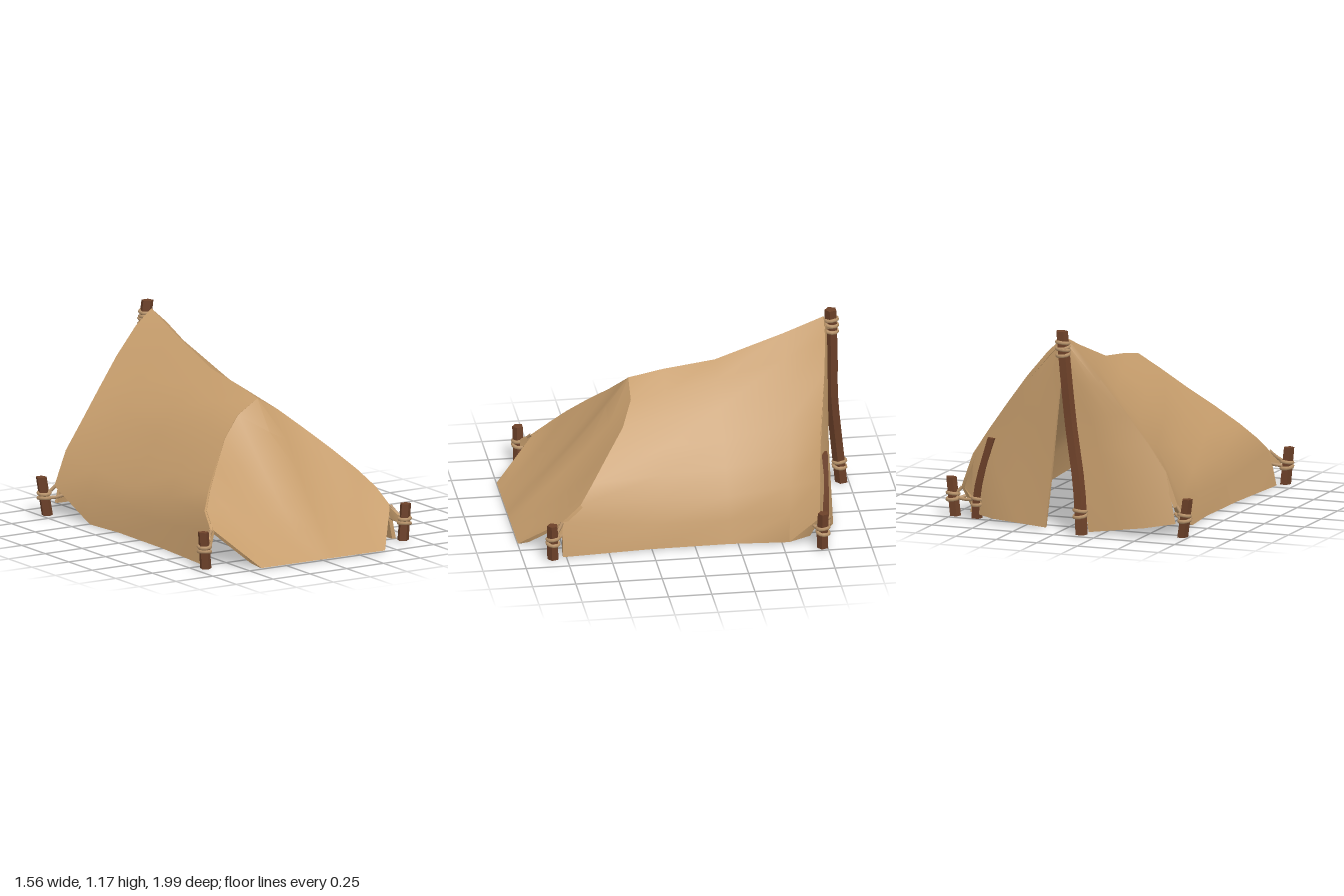
import * as THREE from 'three';
import { toCreasedNormals } from 'three/addons/utils/BufferGeometryUtils.js';

const mat = (name, color) => {
  const m = new THREE.MeshStandardMaterial({ color });
  m.name = name;
  return m;
};
const V = (x, y, z) => new THREE.Vector3(x, y, z);

// Closed cloth sheet from a grid of points, thickened towards its back
function sheet(grid, thick) {
  const n = grid.length, m = grid[0].length, N = n * m;
  const pts = grid.flat(), idx = [];
  for (let i = 0; i < n - 1; i++) for (let j = 0; j < m - 1; j++) {
    const a = i * m + j, b = a + m;
    idx.push(a, b, b + 1, a, b + 1, a + 1);
  }
  const g = new THREE.BufferGeometry().setFromPoints(pts);
  g.setIndex(idx);
  g.computeVertexNormals();
  const nor = g.attributes.normal;
  const inner = pts.map((p, k) => {
    const q = p.clone().addScaledVector(V().fromBufferAttribute(nor, k), -thick);
    q.y = Math.max(0, q.y);
    return q;
  });
  const all = idx.slice();
  for (let k = 0; k < idx.length; k += 3) all.push(idx[k] + N, idx[k + 2] + N, idx[k + 1] + N);
  // rim round the border
  const rim = [];
  for (let i = 0; i < n - 1; i++) rim.push(i * m);
  for (let j = 0; j < m - 1; j++) rim.push((n - 1) * m + j);
  for (let i = n - 1; i > 0; i--) rim.push(i * m + m - 1);
  for (let j = m - 1; j > 0; j--) rim.push(j);
  rim.forEach((a, k) => {
    const b = rim[(k + 1) % rim.length];
    all.push(a, a + N, b + N, a, b + N, b);
  });
  const out = new THREE.BufferGeometry().setFromPoints([...pts, ...inner]);
  out.setIndex(all);
  return toCreasedNormals(out, 0.6);
}

// Rough-cut stick bent along a path
function stick(path, r) {
  const curve = new THREE.CatmullRomCurve3(path);
  const g = new THREE.CylinderGeometry(r * 0.95, r, 1, 5, path.length * 2);
  const p = g.attributes.position;
  for (let i = 0; i < p.count; i++) {
    const c = curve.getPoint(THREE.MathUtils.clamp(p.getY(i) + 0.5, 0, 1));
    p.setXYZ(i, p.getX(i) + c.x, c.y, p.getZ(i) + c.z);
  }
  return toCreasedNormals(g, 0.5);
}

export function createModel() {
  const group = new THREE.Group();
  const cloth = mat('canvas', 0xc69d6c);
  const wood = mat('wood', 0x6d4129);
  const rope = mat('rope', 0xb8936a);
  const add = (name, geo, m) => {
    const mesh = new THREE.Mesh(geo, m);
    mesh.name = name;
    group.add(mesh);
    return mesh;
  };

  // Half cross-sections of the canopy, ridge to hem, from back to front
  const rows = [
    [[0, 1.12, -.83], [.1, 1.03, -.825], [.24, .87, -.8], [.38, .69, -.765], [.5, .53, -.735], [.61, .37, -.72], [.685, .17, -.71], [.64, .04, -.66]],
    [[0, 1.03, -.6], [.1, .92, -.6], [.22, .78, -.59], [.34, .62, -.58], [.45, .46, -.57], [.54, .31, -.56], [.59, .16, -.55], [.625, 0, -.54]],
    [[0, .89, -.2], [.11, .81, -.2], [.23, .69, -.2], [.35, .54, -.2], [.44, .4, -.2], [.52, .26, -.2], [.57, .14, -.2], [.6, 0, -.2]],
    [[0, .85, .1], [.12, .76, .1], [.24, .66, .11], [.36, .52, .14], [.45, .39, .17], [.53, .27, .2], [.58, .14, .24], [.605, 0, .26]],
    [[0, .81, .3], [.135, .73, .305], [.265, .62, .37], [.39, .5, .48], [.5, .385, .58], [.575, .29, .66], [.6, .2, .77], [.64, 0, .77]],
  ];
  const canopy = rows.map((row, i) => {
    const side = s => row.map(([x, y, z], j) => {
      let skew = i === 0 && s < 0 ? -0.013 * j : 0;
      if (s < 0 && i < 2 && j === 7) skew = 0.07;
      const wide = i > 0 && s < 0 ? 0.003 * j : 0;
      const wrinkle = i > 0 && i < 4 && j > 0 && j < 7 ? 0.008 * Math.sin(i * 2.3 + j * 1.9 + s) : 0;
      return V(s * (x + wrinkle + wide), y + wrinkle, z + skew);
    });
    return [...side(-1).reverse(), ...side(1).slice(1)];
  });
  add('canopy', sheet(canopy, 0.026), cloth);

  // Sloping front panel between the canopy seam and the ground hem
  const seam = rows[4].slice(0, 7);
  const panelPoint = (u, t) => {
    const k = Math.min(Math.abs(u) * 6, 5.9999), i = Math.floor(k);
    const p = V(...seam[i]).lerp(V(...seam[i + 1]), k - i);
    p.x *= Math.sign(u);
    p.lerp(V(u * 0.42, 0, 1), t);
    const sag = 0.02 * Math.sin(Math.PI * t) * (1 - u * u);
    return p.add(V(0, -sag, -sag));
  };
  const panel = [0, .2, .4, .6, .8, 1].map(t =>
    Array.from({ length: 13 }, (_, j) => panelPoint((j - 6) / 6, t)));
  add('frontPanel', sheet(panel, 0.02), cloth);

  // Brown patch on the inside of the front panel: t, left x, right x
  const patch = [[.12, -.13, .06], [.3, -.15, .1], [.55, -.16, .11], [.75, -.13, .11], [.85, -.13, .15], [.9, -.19, .33], [.955, -.26, .37]]
    .map(([t, l, r]) => {
      const w = 0.75 * (1 - t) + 0.42 * t;
      return [l / w, l / w / 2, 0, r / w / 2, r / w].map(u => panelPoint(u, t).add(V(0, -.018, -.024)));
    });
  add('innerPatch', sheet(patch, 0.004), wood);

  // Entrance flaps hanging from the back edge
  const flap = (outer, inner, flip) => outer.map((o, i) => {
    const a = V(...o), b = V(...inner[i]);
    const bulge = [0, -0.05, -0.025, 0];
    const row = [0, .33, .67, 1].map((u, j) =>
      a.clone().lerp(b, u).add(V(0, 0, bulge[j] * i / 5)));
    return flip ? row.reverse() : row;
  });
  const flapL = flap(
    [[.05, 1.075, -.83], [.24, .865, -.8], [.38, .685, -.768], [.5, .525, -.74], [.605, .365, -.725], [.62, .03, -.73]],
    [[0, 1.07, -.85], [.02, .85, -.85], [.04, .65, -.85], [.06, .45, -.85], [.08, .25, -.85], [.11, 0, -.85]], false);
  const flapR = flap(
    [[-.05, 1.075, -.83], [-.24, .865, -.828], [-.38, .685, -.806], [-.5, .525, -.79], [-.61, .365, -.788], [-.675, .07, -.8]],
    [[0, 1.07, -.85], [-.03, .85, -.85], [-.06, .65, -.855], [-.09, .45, -.86], [-.13, .25, -.87], [-.17, 0, -.88]], true);
  add('leftFlap', sheet(flapL, 0.016), cloth);
  add('rightFlap', sheet(flapR, 0.016), cloth);

  // Coils of rope round a stick
  const coil = (x, y, z, r) => [-1, 1].forEach(s => {
    const ring = add('ropeCoil', new THREE.TorusGeometry(r, 0.011, 6, 10), rope);
    ring.position.set(x, y + s * 0.015, z);
    ring.rotation.set(Math.PI / 2 + s * 0.12, s * 0.1, 0);
  });
  const tie = (a, b) => {
    const mid = a.clone().lerp(b, 0.5).add(V(0, -0.008, 0));
    add('ropeTie', new THREE.TubeGeometry(new THREE.CatmullRomCurve3([a, mid, b]), 6, 0.01, 6), rope);
  };

  // Main pole
  add('mainPole', stick([V(-.155, 0, -.957), V(-.125, .28, -.925), V(-.065, .6, -.89), V(-.035, .85, -.885), V(0, 1.16, -.872)], 0.038), wood);
  coil(-.143, .12, -.943, .036);
  coil(-.012, 1.04, -.876, .036);
  coil(-.008, 1.08, -.875, .036);

  // Corner stakes: base x, z, top x, z, height, then tied cloth corner
  [
    [.65, .83, .665, .835, .215, .6, .2, .77],
    [-.69, .83, -.71, .835, .215, -.615, .2, .77],
    [.72, -.72, .745, -.72, .225, .68, .17, -.71],
    [-.72, -.81, -.755, -.82, .225, -.68, .17, -.785],
  ].forEach(([x, z, tx, tz, h, cx, cy, cz]) => {
    add('stake', stick([V(x, 0, z), V((x + tx) / 2, h / 2, (z + tz) / 2), V(tx, h, tz)], 0.034), wood);
    const mx = (x + tx) / 2, mz = (z + tz) / 2, sx = Math.sign(x);
    coil(mx, .115, mz, .034);
    tie(V(mx, .125, mz), V(cx, cy, cz));
    tie(V(mx, .105, mz), V(cx - sx * .03, cy - .05, cz - Math.sign(z) * .04));
    // cloth tip drawn out to a front stake
    if (z > 0) {
      const tip = [
        [V(cx - sx * .02, cy + .03, cz - .04), V(cx, cy - .07, cz - .03)],
        [V(mx - sx * .03, .15, mz - .01), V(mx - sx * .03, .11, mz - .01)],
      ];
      add('cornerTip', sheet(sx > 0 ? tip : tip.map(r => r.slice().reverse()), 0.012), cloth);
    }
  });

  // Leaning side stick by the entrance, lashed to its neighbour stake
  add('sideStick', stick([V(.58, 0, -.74), V(.555, .2, -.75), V(.475, .48, -.755)], 0.035), wood);
  coil(.568, .1, -.746, .034);
  tie(V(.568, .11, -.75), V(.73, .11, -.72));
  return group;
}
